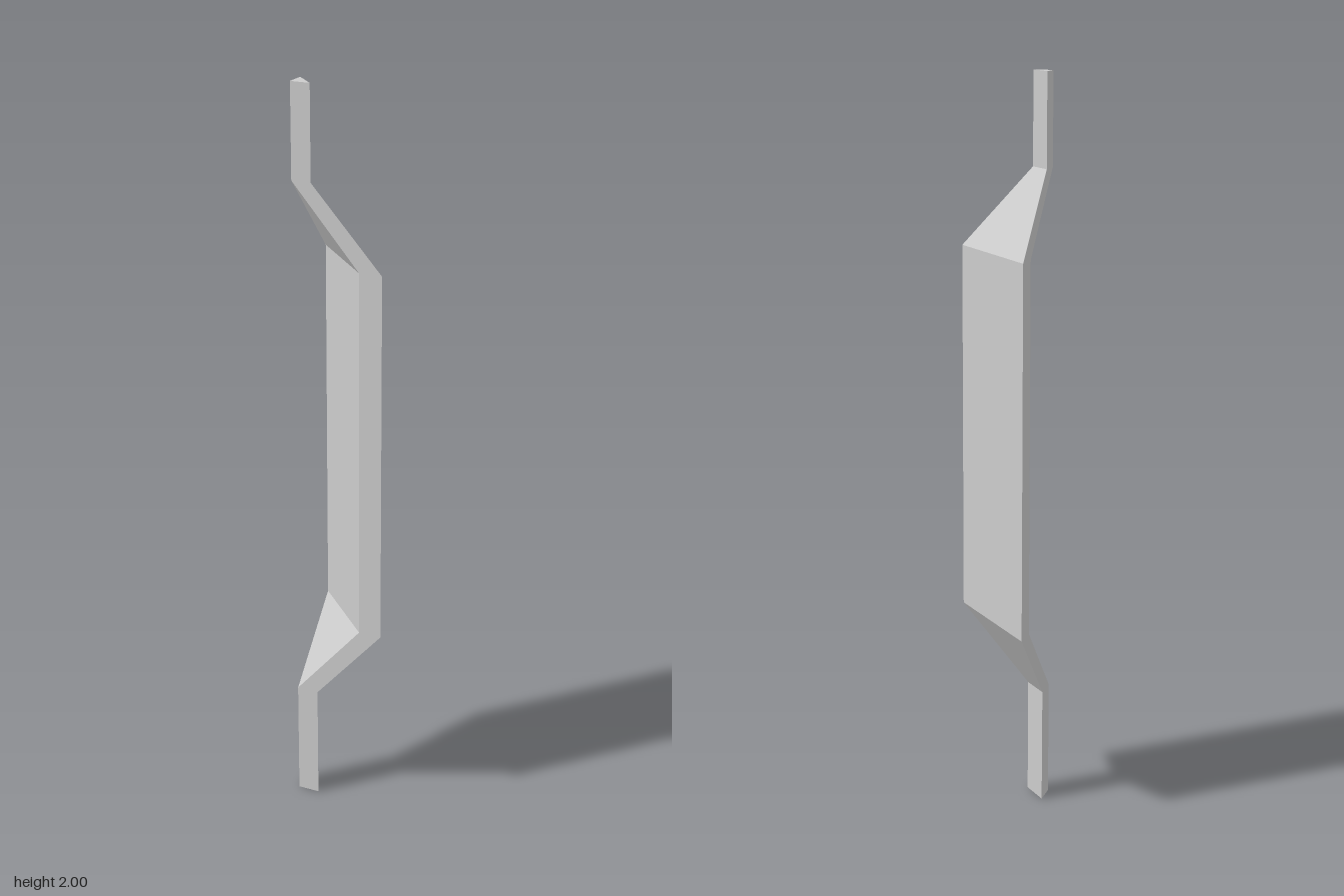
import * as THREE from 'three';

// Cross-sections from bottom to top: [height, outer leg, inner leg],
// legs measured from the corner along +x and -z.
const SECTIONS = [
  [0, 0.06, 0],
  [0.318, 0.06, 0],
  [0.532, 0.25, 0.187],
  [1.537, 0.25, 0.187],
  [1.752, 0.054, 0],
  [2, 0.054, 0],
];
const CX = -0.125, CZ = 0.125;

// Four corners of a diagonal strip; with inner = 0 it closes to a triangle.
function ring([y, outer, inner]) {
  return [
    new THREE.Vector3(CX, y, CZ - outer),
    new THREE.Vector3(CX + outer, y, CZ),
    new THREE.Vector3(CX + inner, y, CZ),
    new THREE.Vector3(CX, y, CZ - inner),
  ];
}

function stripGeometry() {
  const pos = [];
  const tri = (a, b, c) => {
    // skip collapsed triangles
    if (new THREE.Triangle(a, b, c).getArea() < 1e-7) return;
    for (const p of [a, b, c]) pos.push(p.x, p.y, p.z);
  };
  const rings = SECTIONS.map(ring);
  for (let s = 0; s < rings.length - 1; s++) {
    const lo = rings[s], hi = rings[s + 1];
    for (let i = 0; i < 4; i++) {
      const j = (i + 1) % 4;
      tri(lo[i], hi[i], hi[j]);
      tri(lo[i], hi[j], lo[j]);
    }
  }
  // end caps
  const bottom = rings[0], top = rings[rings.length - 1];
  tri(bottom[0], bottom[1], bottom[2]);
  tri(top[0], top[2], top[1]);

  const geo = new THREE.BufferGeometry();
  geo.setAttribute('position', new THREE.Float32BufferAttribute(pos, 3));
  geo.computeVertexNormals();
  return geo;
}

export function createModel() {
  const group = new THREE.Group();
  group.name = 'cornerHandle';
  const material = new THREE.MeshStandardMaterial({ color: 0xcccccc, flatShading: true });
  const bar = new THREE.Mesh(stripGeometry(), material);
  bar.name = 'handleBar';
  group.add(bar);
  return group;
}
